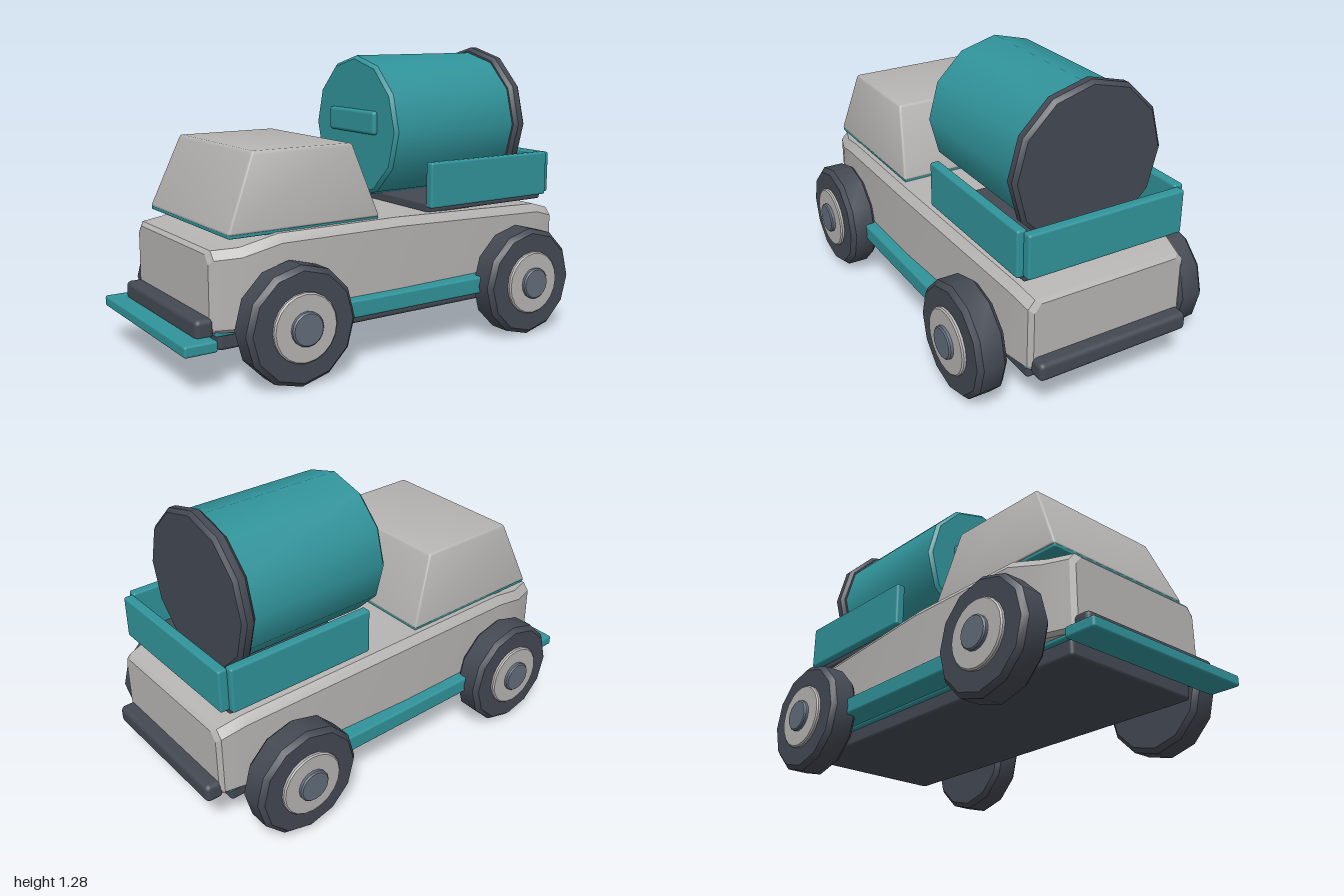
import * as THREE from 'three';
import { toCreasedNormals } from 'three/addons/utils/BufferGeometryUtils.js';
import { RoundedBoxGeometry } from 'three/addons/geometries/RoundedBoxGeometry.js';

export function createModel() {
  const model = new THREE.Group();
  model.name = 'mixerTruck';
  const material = (name, color) => {
    const m = new THREE.MeshStandardMaterial({ color });
    m.name = name;
    return m;
  };
  const grey = material('light grey', 0xb6b4b2);
  const teal = material('teal', 0x30939a);
  const dark = material('dark slate', 0x434852);
  const steel = material('steel blue', 0x626d7a);

  function add(name, geometry, mat, parent = model) {
    const mesh = new THREE.Mesh(geometry, mat);
    mesh.name = name;
    parent.add(mesh);
    return mesh;
  }

  // Bevelled box given by its limits on each axis
  function box(name, mat, [x0, x1], [y0, y1], [z0, z1], r = 0.01) {
    const g = new RoundedBoxGeometry(x1 - x0, y1 - y0, z1 - z0, 2, r);
    g.translate((x0 + x1) / 2, (y0 + y1) / 2, (z0 + z1) / 2);
    return add(name, g, mat);
  }

  // Bevelled disc standing on the y axis from y0 to y1
  function disc(r, y0, y1, bevel, sides = 12) {
    const points = [
      [0, y0], [r - bevel, y0], [r, y0 + bevel],
      [r, y1 - bevel], [r - bevel, y1], [0, y1],
    ].map(([x, y]) => new THREE.Vector2(x, y));
    return toCreasedNormals(new THREE.LatheGeometry(points, sides), 0.6);
  }

  // Body: chamfered cross-sections along x, as [x, half width, top, bottom]
  const stations = [
    [-0.86, 0.345, 0.53, 0.235], [-0.845, 0.365, 0.546, 0.22], [-0.74, 0.4, 0.552, 0.22],
    [-0.58, 0.428, 0.594, 0.22], [0, 0.428, 0.594, 0.22], [0.82, 0.39, 0.56, 0.22],
    [0.925, 0.37, 0.53, 0.22], [0.94, 0.35, 0.515, 0.235],
  ];
  const sections = stations.map(([x, w, top, bottom]) => [
    [w - 0.015, bottom], [w, bottom + 0.015], [w, top - 0.035], [w - 0.03, top],
    [-w + 0.03, top], [-w, top - 0.035], [-w, bottom + 0.015], [-w + 0.015, bottom],
  ].map(([z, y]) => [x, y, z]));
  const positions = [];
  const triangle = (a, b, c) => positions.push(...a, ...b, ...c);
  for (let i = 0; i < sections.length - 1; i++) {
    const s = sections[i], t = sections[i + 1];
    for (let j = 0; j < 8; j++) {
      const k = (j + 1) % 8;
      triangle(s[j], t[j], t[k]);
      triangle(s[j], t[k], s[k]);
    }
  }
  const first = sections[0], last = sections[sections.length - 1];
  for (let j = 1; j < 7; j++) {
    triangle(first[0], first[j], first[j + 1]);
    triangle(last[0], last[j + 1], last[j]);
  }
  const bodyGeometry = new THREE.BufferGeometry();
  bodyGeometry.setAttribute('position', new THREE.Float32BufferAttribute(positions, 3));
  add('body', toCreasedNormals(bodyGeometry, 0.4), grey);

  // Cab: bevelled box tapering towards the roof
  const cabHeight = 0.315;
  const cab = new RoundedBoxGeometry(0.71, cabHeight, 0.76, 2, 0.012);
  const p = cab.attributes.position;
  for (let i = 0; i < p.count; i++) {
    const t = p.getY(i) / cabHeight + 0.5;
    p.setX(i, p.getX(i) * (1 - 0.345 * t) - 0.435 + 0.01 * t);
    p.setZ(i, p.getZ(i) * (1 - 0.11 * t));
    p.setY(i, 0.6 + cabHeight * t);
  }
  add('cab', toCreasedNormals(cab, 0.5), grey);
  box('cabBase', teal, [-0.785, -0.085], [0.588, 0.606], [-0.375, 0.375], 0.004);

  // Chassis, bumpers and front plate
  box('chassis', dark, [-0.82, 0.88], [0.14, 0.215], [-0.34, 0.34], 0.015);
  box('chassisPlate', teal, [-0.84, 0.9], [0.205, 0.235], [-0.36, 0.36], 0.008);
  box('frontBumper', dark, [-0.925, -0.845], [0.2, 0.285], [-0.36, 0.36], 0.022);
  box('rearBumper', dark, [0.92, 1.0], [0.2, 0.28], [-0.355, 0.355], 0.022);
  box('frontPlate', teal, [-1.0, -0.86], [0.168, 0.215], [-0.42, 0.42]);

  // Load bed
  box('bedFloor', dark, [0.19, 0.87], [0.58, 0.625], [-0.355, 0.355]);
  box('tailgate', teal, [0.868, 0.912], [0.61, 0.8], [-0.362, 0.362]);

  // Sills and bed sides
  for (const [side, s] of [['left', 1], ['right', -1]]) {
    const span = (a, b) => (s > 0 ? [a, b] : [-b, -a]);
    box(side + 'Sill', teal, [-0.5, 0.58], [0.215, 0.29], span(0.34, 0.478));
    box(side + 'BedSide', teal, [0.188, 0.872], [0.605, 0.806], span(0.345, 0.388));
  }

  // Mixing drum along x, with rear rim and front bar
  const drum = new THREE.Group();
  drum.name = 'drum';
  drum.position.y = 0.938;
  model.add(drum);
  add('drumShell', disc(0.32, 0.045, 0.73, 0.015).rotateZ(-Math.PI / 2), teal, drum);
  add('drumRim', disc(0.345, 0.712, 0.775, 0.016).rotateZ(-Math.PI / 2), dark, drum);
  box('drumBar', teal, [0.025, 0.065], [0.915, 1.02], [-0.178, 0.178], 0.015);

  // Wheels
  for (const [end, x] of [['front', -0.557], ['rear', 0.637]]) {
    for (const [side, s] of [['Left', 1], ['Right', -1]]) {
      const wheel = new THREE.Group();
      wheel.name = end + side + 'Wheel';
      wheel.position.set(x, 0.248, 0);
      if (s < 0) wheel.rotation.y = Math.PI;
      model.add(wheel);
      add('tyre', disc(0.245, 0.42, 0.552, 0.02).rotateX(Math.PI / 2), dark, wheel);
      add('hub', disc(0.142, 0.53, 0.568, 0.006, 20).rotateX(Math.PI / 2), grey, wheel);
      add('hubCap', disc(0.07, 0.55, 0.586, 0.006, 16).rotateX(Math.PI / 2), steel, wheel);
    }
  }

  return model;
}
